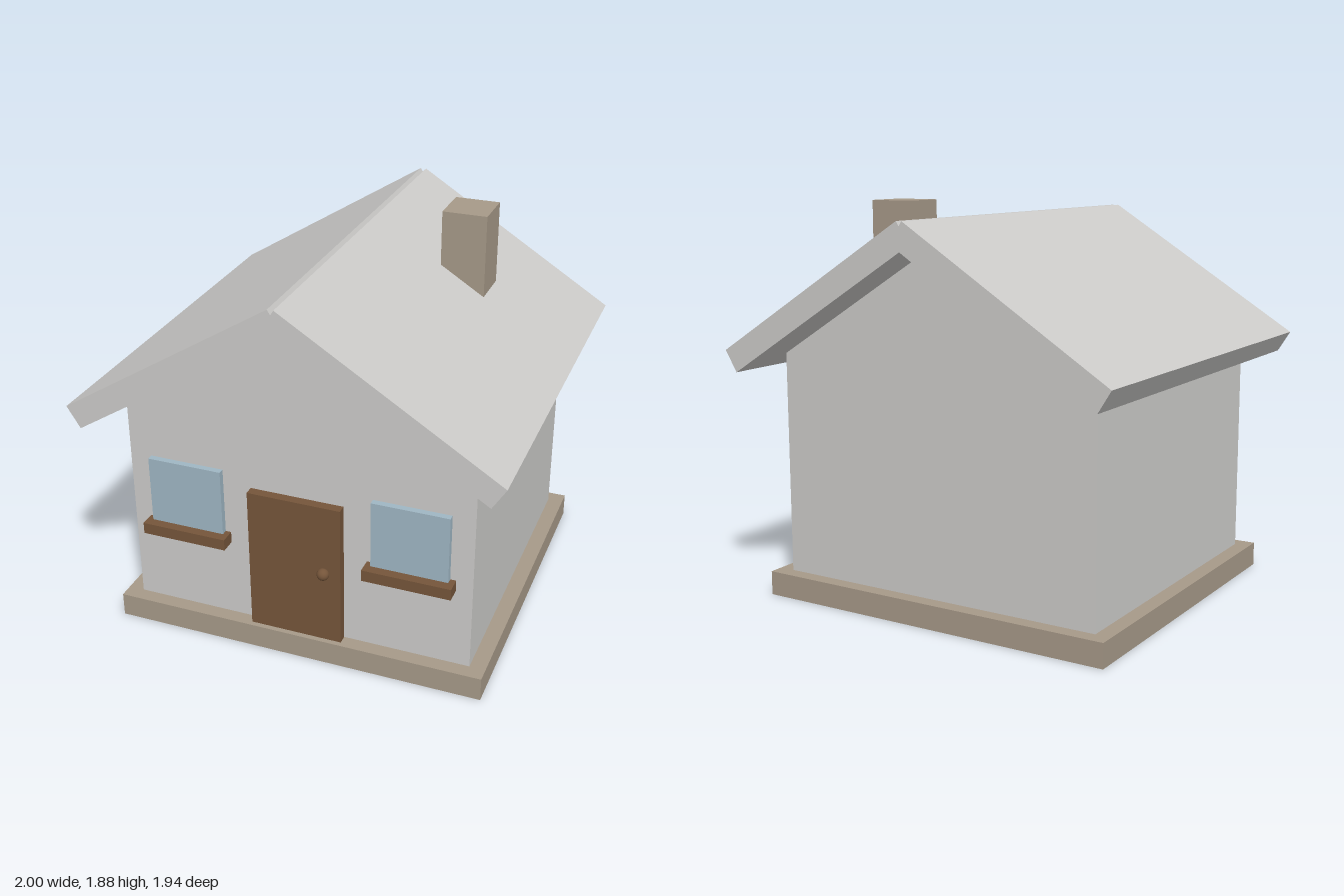
import * as THREE from 'three';

const material = (name, color) => {
  const m = new THREE.MeshStandardMaterial({ color });
  m.name = name;
  return m;
};

export function createModel() {
  const house = new THREE.Group();
  house.name = 'house';

  const plaster = material('pale grey', 0xcccbc9);
  const stone = material('stone', 0xa69988);
  const wood = material('brown wood', 0x75553a);
  const glass = material('blue glass', 0x9fb6c3);

  const add = (name, geometry, mat) => {
    const mesh = new THREE.Mesh(geometry, mat);
    mesh.name = name;
    house.add(mesh);
    return mesh;
  };
  // Box given by its lower and upper corners
  const box = (name, mat, [x0, y0, z0], [x1, y1, z1]) => {
    const mesh = add(name, new THREE.BoxGeometry(x1 - x0, y1 - y0, z1 - z0), mat);
    mesh.position.set((x0 + x1) / 2, (y0 + y1) / 2, (z0 + z1) / 2);
    return mesh;
  };
  // Outline in x and y, extruded evenly about z = 0
  const prism = (name, mat, points, depth) => {
    const shape = new THREE.Shape(points.map(([x, y]) => new THREE.Vector2(x, y)));
    const geometry = new THREE.ExtrudeGeometry(shape, { depth, bevelEnabled: false });
    geometry.translate(0, 0, -depth / 2);
    return add(name, geometry, mat);
  };

  box('foundation', stone, [-0.9, 0, -0.825], [0.9, 0.115, 0.825]);

  // Gabled body
  prism('walls', plaster,
    [[-0.825, 0.115], [0.825, 0.115], [0.825, 1.173], [0, 1.69], [-0.825, 1.173]], 1.51);

  // Two slabs crossing at the ridge, with a small notch between their upper edges
  for (const [side, s] of [['left', 1], ['right', -1]]) {
    const slab = [[0.938, 1.101], [1, 1.2], [0.014, 1.816], [-0.048, 1.717]];
    prism(side + 'RoofSlab', plaster, slab.map(([x, y]) => [s * x, y]), 1.94);
  }

  box('chimney', stone, [0.338, 1.3, -0.43], [0.552, 1.875, -0.215]);

  // Door and knob
  box('door', wood, [-0.223, 0.115, 0.74], [0.223, 0.824, 0.8]);
  add('doorKnob', new THREE.SphereGeometry(0.029, 24, 16), wood).position.set(0.142, 0.479, 0.806);

  // Windows and sills
  for (const [side, s] of [['left', 1], ['right', -1]]) {
    const x = s * 0.54;
    box(side + 'Window', glass, [x - 0.18, 0.54, 0.74], [x + 0.18, 0.89, 0.785]);
    box(side + 'WindowSill', wood, [x - 0.207, 0.508, 0.74], [x + 0.207, 0.563, 0.83]);
  }

  return house;
}
